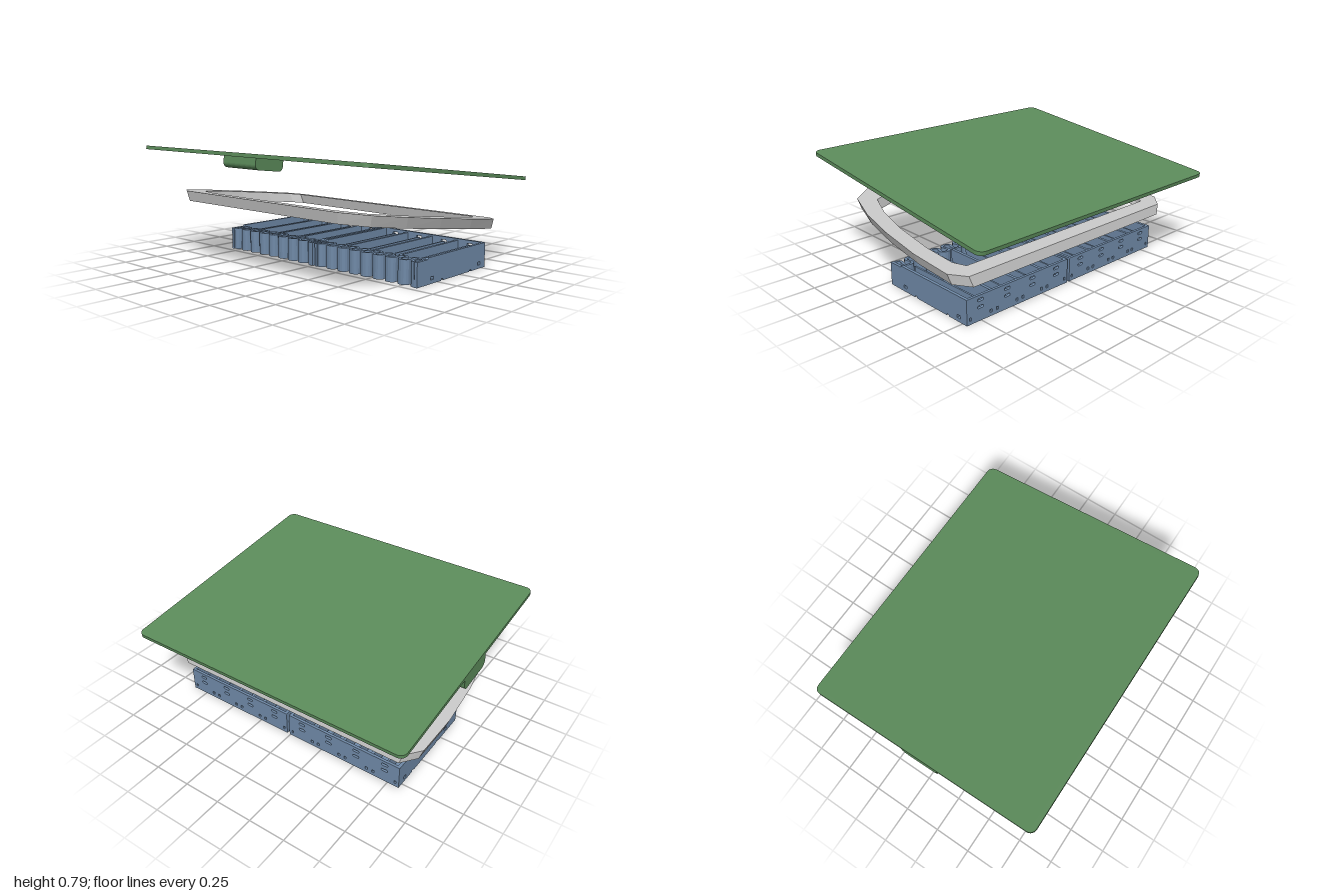
import * as THREE from 'three';

const mat = (name, color, side = THREE.FrontSide) => {
  const m = new THREE.MeshStandardMaterial({ color, side });
  m.name = name;
  return m;
};

function add(parent, name, geometry, material, x = 0, y = 0, z = 0) {
  const mesh = new THREE.Mesh(geometry, material);
  mesh.name = name;
  mesh.position.set(x, y, z);
  parent.add(mesh);
  return mesh;
}

// Rounded rectangle path; works for shapes and holes
function roundRect(path, cx, cy, w, h, r) {
  const x0 = cx - w / 2, x1 = cx + w / 2, y0 = cy - h / 2, y1 = cy + h / 2;
  path.moveTo(x0 + r, y0);
  path.lineTo(x1 - r, y0);
  path.absarc(x1 - r, y0 + r, r, -Math.PI / 2, 0);
  path.lineTo(x1, y1 - r);
  path.absarc(x1 - r, y1 - r, r, 0, Math.PI / 2);
  path.lineTo(x0 + r, y1);
  path.absarc(x0 + r, y1 - r, r, Math.PI / 2, Math.PI);
  path.lineTo(x0, y0 + r);
  path.absarc(x0 + r, y0 + r, r, Math.PI, Math.PI * 1.5);
  return path;
}

const hole = (shape, ...args) => shape.holes.push(roundRect(new THREE.Path(), ...args));
const extrude = (shape, depth) =>
  new THREE.ExtrudeGeometry(shape, { depth, bevelEnabled: false, curveSegments: 8 });

// Tilted faceted ring, lofted from one four-cornered section per plan point
function ringGeometry() {
  const outer = [[.575, .866], [.485, .95], [.2, .967], [-.1, .95], [-.37, .91], [-.6, .838], [-.707, .687]];
  const inner = [[.475, .8], [.4, .845], [.18, .86], [-.1, .845], [-.33, .805], [-.52, .735], [-.597, .545]];
  const mirror = half => [...half, ...half.slice().reverse().map(([x, z]) => [x, -z])];
  const o = mirror(outer), n = mirror(inner), pos = [], idx = [];
  const top = ([x, z]) => [x, .327 + (.575 - x) * .127, z];
  const bottom = ([x, z]) => [x + .012, .259 + (.575 - x) * .127, z * .975];
  o.forEach((p, i) => pos.push(...top(p), ...bottom(p), ...bottom(n[i]), ...top(n[i])));
  for (let i = 0; i < o.length; i++) {
    const a = i * 4, b = ((i + 1) % o.length) * 4;
    for (let k = 0; k < 4; k++) {
      const m = (k + 1) % 4;
      idx.push(a + k, b + k, b + m, a + k, b + m, a + m);
    }
  }
  const g = new THREE.BufferGeometry();
  g.setAttribute('position', new THREE.Float32BufferAttribute(pos, 3));
  g.setIndex(idx);
  const flat = g.toNonIndexed();
  flat.computeVertexNormals();
  return flat;
}

const WIDTH = .835, BAYS = 4, PITCH = WIDTH / BAYS;

// Serpentine strip running along the open edge of a tray
function serpentineGeometry() {
  const loops = BAYS * 2, p = (WIDTH - .05) / loops, steps = loops * 20, half = .009;
  const at = t => new THREE.Vector2(-.15 - .047 * Math.cos(2 * Math.PI * t),
    p * (t - loops / 2) + .016 * Math.sin(4 * Math.PI * t));
  const left = [], right = [];
  for (let i = 0; i <= steps; i++) {
    const t = i / 20, c = at(t);
    const d = at(t + .001).sub(at(t - .001)).normalize();
    left.push(new THREE.Vector2(c.x - d.y * half, c.y + d.x * half));
    right.push(new THREE.Vector2(c.x + d.y * half, c.y - d.x * half));
  }
  return extrude(new THREE.Shape([...right, ...left.reverse()]), .155).rotateX(-Math.PI / 2);
}

// Side wall with lowered end, through holes and bottom notches
function sideWallGeometry() {
  const s = new THREE.Shape();
  s.moveTo(-.21, 0);
  for (const x of [.05, .365]) {
    s.lineTo(x - .013, 0);
    s.lineTo(x - .007, .011);
    s.lineTo(x + .007, .011);
    s.lineTo(x + .013, 0);
  }
  s.lineTo(.54, 0);
  s.lineTo(.54, .157);
  s.lineTo(.532, .165);
  s.lineTo(-.095, .165);
  s.lineTo(-.107, .155);
  s.lineTo(-.21, .155);
  for (const x of [-.06, .467]) hole(s, x, .034, .032, .02, .002);
  return extrude(s, .02);
}

// Long wall pierced with paired slots and small square holes
function slottedWallGeometry() {
  const s = roundRect(new THREE.Shape(), 0, .083, WIDTH, .164, .006);
  for (let i = 0; i < BAYS; i++) {
    const c = (i - (BAYS - 1) / 2) * PITCH;
    for (const y of [.09, .135]) hole(s, c, y, .046, .018, .0085);
    for (const side of [-1, 1]) hole(s, c + side * .08, .034, .018, .02, .003);
  }
  return extrude(s, .018).rotateY(Math.PI / 2);
}

function createTray(blue) {
  const tray = new THREE.Group();
  const wall = sideWallGeometry();
  add(tray, 'frontSideWall', wall, blue, 0, 0, WIDTH / 2 - .02);
  add(tray, 'backSideWall', wall, blue, 0, 0, -WIDTH / 2);
  add(tray, 'slottedWall', slottedWallGeometry(), blue, .522, 0, 0);
  add(tray, 'serpentineStrip', serpentineGeometry(), blue);
  add(tray, 'floor', new THREE.BoxGeometry(.63, .01, WIDTH - .02), blue, .215, .017, 0);

  // Floor tiles with narrow grooves between them
  const tile = new THREE.BoxGeometry(.15, .008, PITCH - .014);
  for (let i = 0; i < BAYS; i++) {
    const z = (i - (BAYS - 1) / 2) * PITCH;
    for (let j = 0; j < 4; j++) add(tray, 'floorTile', tile, blue, -.02 + j * .157, .009, z);
    // Low fin in the middle of each bay
    add(tray, 'bayFin', new THREE.BoxGeometry(.61, .09, .012), blue, .215, .09, z);
  }
  // Dividers between bays
  for (let i = 1; i < BAYS; i++) {
    add(tray, 'bayDivider', new THREE.BoxGeometry(.63, .11, .02), blue, .21, .1, (i - BAYS / 2) * PITCH);
  }
  return tray;
}

export function createModel() {
  const green = mat('panel green', 0x5c8c5b);
  const grey = mat('frame grey', 0xc9c9c9);
  const blue = mat('tray blue', 0x708aa8);
  const model = new THREE.Group();
  model.name = 'layeredAssembly';

  // Tilted top panel with a rounded box beneath its rear edge
  const lid = new THREE.Group();
  lid.name = 'topPanel';
  lid.position.y = .674;
  lid.rotation.z = -.12;
  const sheet = extrude(roundRect(new THREE.Shape(), 0, 0, 1.664, 2, .045), .024);
  add(lid, 'panelSheet', sheet.rotateX(-Math.PI / 2), green, 0, -.012, 0);
  const box = new THREE.Shape();
  box.moveTo(-.136, -.011);
  box.lineTo(-.136, -.06);
  box.absarc(-.096, -.06, .04, Math.PI, Math.PI * 1.5);
  box.lineTo(.096, -.1);
  box.absarc(.096, -.06, .04, -Math.PI / 2, 0);
  box.lineTo(.136, -.011);
  add(lid, 'underPanelBox', extrude(box, .365), green, 0, 0, -1);
  model.add(lid);

  // Middle ring
  add(model, 'ringFrame', ringGeometry(), grey);

  // Two trays end to end
  for (const [name, z] of [['frontTray', .4425], ['backTray', -.4125]]) {
    const tray = createTray(blue);
    tray.name = name;
    tray.position.z = z;
    model.add(tray);
  }
  return model;
}
